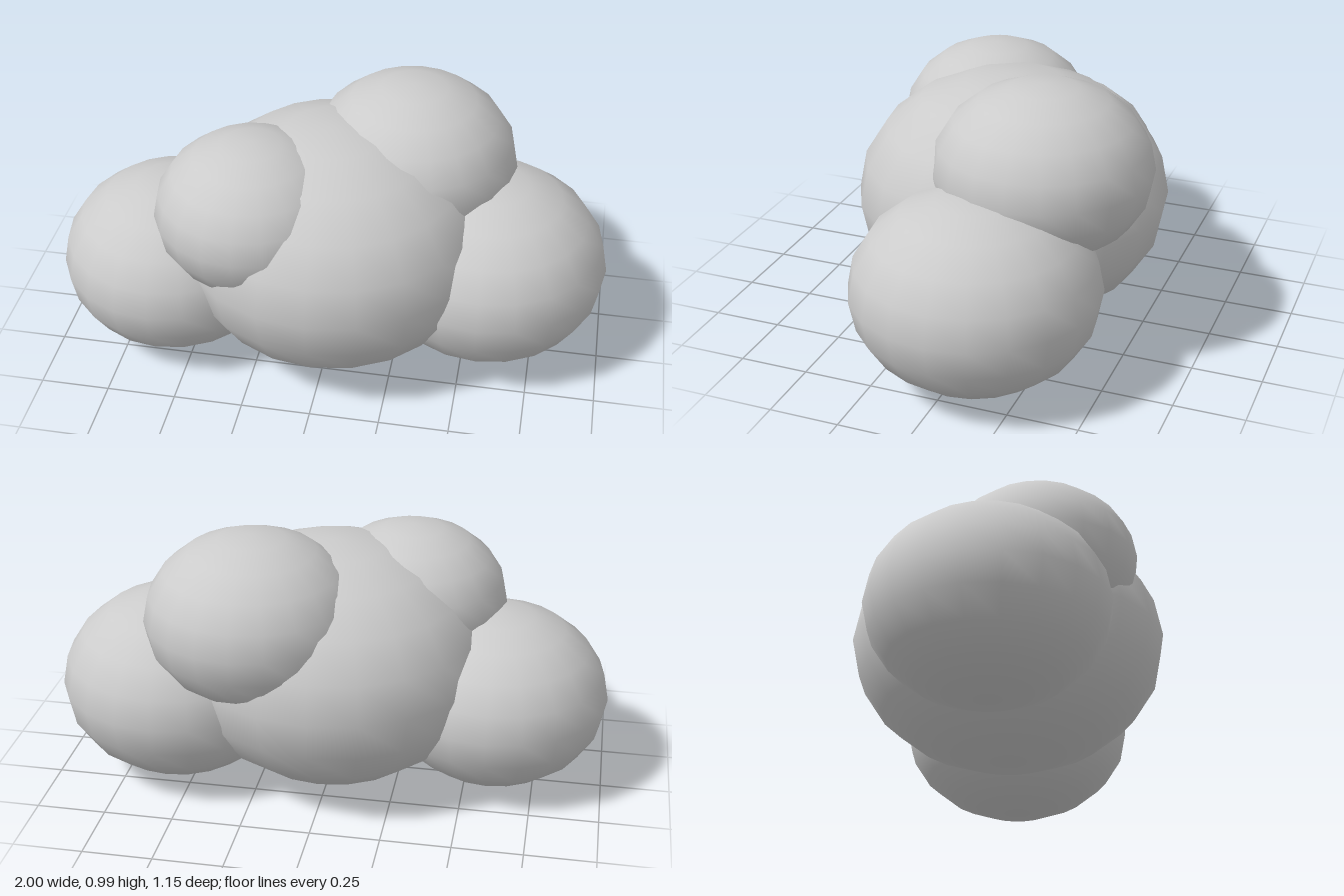
import * as THREE from 'three';

// Each puff: name, centre x, y, z, and horizontal radius
const PUFFS = [
  ['corePuff', 0, 0.46, 0.01, 0.565],
  ['leftPuff', 0.565, 0.355, -0.068, 0.433],
  ['rightPuff', -0.59, 0.33, 0.061, 0.41],
  ['upperBackPuff', 0.255, 0.687, -0.195, 0.385],
  ['upperFrontPuff', -0.26, 0.645, 0.17, 0.35],
];
const FLATTEN = 0.8; // height relative to width

export function createModel() {
  const cloud = new THREE.Group();
  cloud.name = 'cloud';
  const material = new THREE.MeshStandardMaterial({ color: 0xcccccc });

  // Overlapping, slightly flattened spheres
  for (const [name, x, y, z, radius] of PUFFS) {
    const geometry = new THREE.SphereGeometry(radius, 20, 10);
    geometry.scale(1, FLATTEN, 1);
    const puff = new THREE.Mesh(geometry, material);
    puff.name = name;
    puff.position.set(x, y, z);
    cloud.add(puff);
  }
  return cloud;
}
